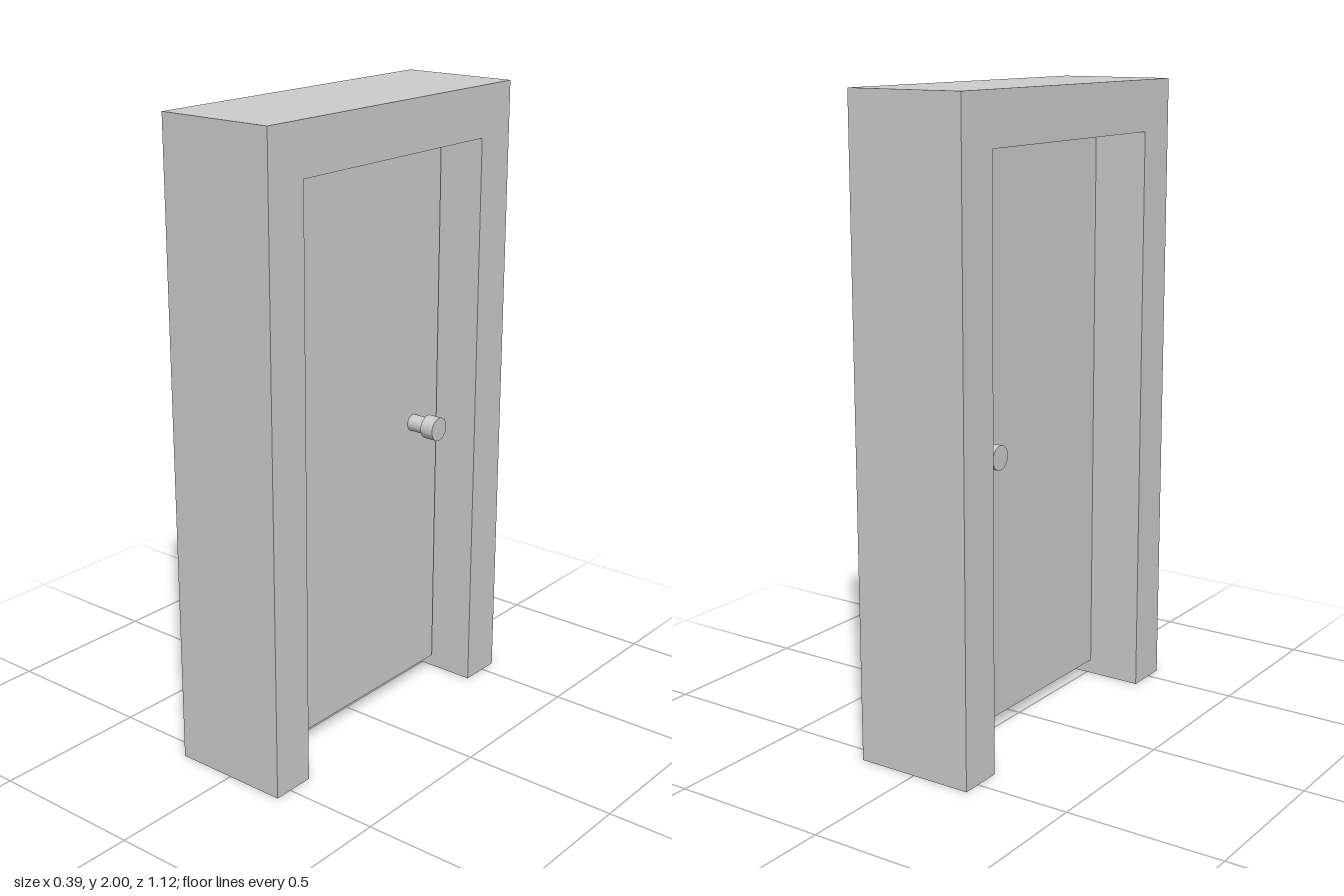
import * as THREE from 'three';

const material = new THREE.MeshStandardMaterial({ color: 0xcccccc });

function addPart(parent, name, geometry, x, y, z) {
  const mesh = new THREE.Mesh(geometry, material);
  mesh.name = name;
  mesh.position.set(x, y, z);
  parent.add(mesh);
  return mesh;
}

// Cylinder lying along x, between x0 and x1
function rod(parent, name, radius, x0, x1, y, z) {
  const geometry = new THREE.CylinderGeometry(radius, radius, Math.abs(x1 - x0), 32);
  geometry.rotateZ(Math.PI / 2);
  return addPart(parent, name, geometry, (x0 + x1) / 2, y, z);
}

export function createModel() {
  const model = new THREE.Group();
  model.name = 'doorway';

  // Deep frame: an arch outline extruded through the wall depth
  const depth = 0.386, half = 0.558, inner = 0.415, lintel = 1.84;
  const outline = new THREE.Shape([
    [-half, 0], [-inner, 0], [-inner, lintel], [inner, lintel],
    [inner, 0], [half, 0], [half, 2], [-half, 2],
  ].map(([a, b]) => new THREE.Vector2(a, b)));
  const frame = new THREE.ExtrudeGeometry(outline, { depth, bevelEnabled: false });
  frame.translate(0, 0, -depth / 2);
  frame.rotateY(Math.PI / 2);
  addPart(model, 'frame', frame, 0, 0, 0);

  // Door leaf, hinged at +z with a small gap on the latch side and the floor
  const doorX = 0.017, thick = 0.064;
  const bottom = 0.047, top = 1.838, hinge = 0.414, latch = -0.402;
  addPart(model, 'door',
    new THREE.BoxGeometry(thick, top - bottom, hinge - latch),
    doorX, (top + bottom) / 2, (hinge + latch) / 2);

  // Matching knobs on both faces
  for (const side of [1, -1]) {
    const knob = new THREE.Group();
    knob.name = side > 0 ? 'leftKnob' : 'rightKnob';
    knob.position.set(doorX, 0.93, -0.275);
    rod(knob, 'knobStem', 0.027, side * thick / 2, side * 0.095, 0, 0);
    rod(knob, 'knobHead', 0.038, side * 0.092, side * 0.137, 0, 0);
    model.add(knob);
  }
  return model;
}
